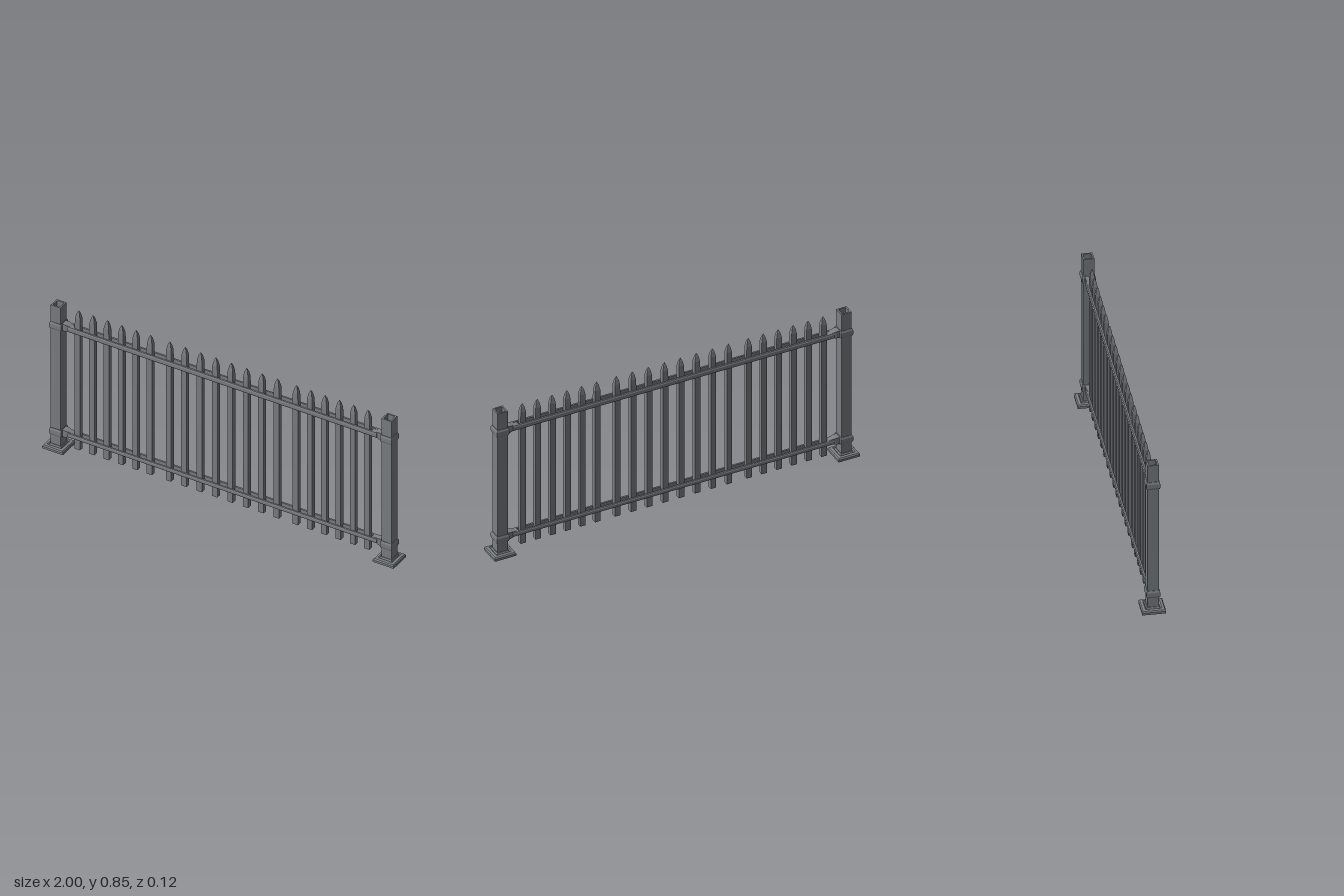
import * as THREE from 'three';

const iron = new THREE.MeshStandardMaterial({ color: 0x7b8083, flatShading: true });
iron.name = 'grey iron';

// Square solid built from [half width, height] pairs, going up the outside
function squareLathe(profile) {
  const pts = profile.map(([h, y]) => new THREE.Vector2(h * Math.SQRT2, y));
  return new THREE.LatheGeometry(pts, 4, Math.PI / 4);
}

function add(parent, name, geometry, x = 0, y = 0, z = 0) {
  const mesh = new THREE.Mesh(geometry, iron);
  mesh.name = name;
  mesh.position.set(x, y, z);
  parent.add(mesh);
  return mesh;
}

export function createModel() {
  const fence = new THREE.Group();
  fence.name = 'fence';
  const postX = 0.94;
  const rails = [
    { name: 'lowerRail', y: 0.097, h: 0.022 },
    { name: 'upperRail', y: 0.725, h: 0.028 },
  ];

  // Hollow square post, open at the top
  const postGeo = squareLathe([
    [0.021, 0.01], [0.028, 0.01], [0.028, 0.843], [0.02, 0.843], [0.02, 0.01],
  ]);
  // Stepped foot plate with a square hole
  const footGeo = squareLathe([
    [0.021, 0], [0.059, 0], [0.059, 0.012], [0.054, 0.019], [0.041, 0.021],
    [0.035, 0.016], [0.031, 0.025], [0.027, 0.025], [0.021, 0],
  ]);
  // Bevelled collar clamped round the post
  const collarGeo = squareLathe([
    [0.027, -0.02], [0.031, -0.02], [0.034, -0.012], [0.034, 0.01], [0.03, 0.02], [0.027, 0.02],
  ]);
  // Tapered socket that joins a collar to a rail, pointing along +x
  const socketGeo = squareLathe([
    [0.019, 0], [0.019, 0.02], [0.013, 0.045], [0.011, 0.065], [0, 0.065],
  ]);
  socketGeo.rotateZ(-Math.PI / 2);

  for (const side of [-1, 1]) {
    const post = new THREE.Group();
    post.name = side < 0 ? 'rightPost' : 'leftPost';
    post.position.x = side * postX;
    fence.add(post);
    add(post, 'postTube', postGeo);
    add(post, 'footPlate', footGeo);
    for (const rail of rails) {
      add(post, 'collar', collarGeo, 0, rail.y + 0.001);
      const socket = add(post, 'railSocket', socketGeo, -side * 0.03, rail.y);
      if (side > 0) socket.rotation.y = Math.PI;
    }
  }

  // Each rail is a pair of bars with a slot between them for the pickets
  const length = 1.76;
  for (const { name, y, h } of rails) {
    const rail = new THREE.Group();
    rail.name = name;
    rail.position.y = y;
    fence.add(rail);
    for (const s of [-1, 1]) {
      const section = new THREE.Shape([
        [0.011, -h / 2], [0.02, -h / 2], [0.023, -h / 4],
        [0.023, h / 4], [0.02, h / 2], [0.011, h / 2],
      ].map(([d, v]) => new THREE.Vector2(s * d, v)));
      const geo = new THREE.ExtrudeGeometry(section, { depth: length, bevelEnabled: false });
      geo.translate(0, 0, -length / 2);
      geo.rotateY(Math.PI / 2);
      add(rail, 'railBar', geo);
    }
  }

  // Pointed pickets, in groups of six, eight and six
  const picketGeo = squareLathe([
    [0, 0.026], [0.015, 0.026], [0.015, 0.765], [0.014, 0.8], [0.008, 0.828], [0, 0.845],
  ]);
  picketGeo.scale(1, 1, 0.85);
  const runs = [
    { start: -0.826, step: 0.0818, count: 6 },
    { start: -0.308, step: 0.0875, count: 8 },
    { start: 0.412, step: 0.0814, count: 6 },
  ];
  for (const { start, step, count } of runs) {
    for (let i = 0; i < count; i++) add(fence, 'picket', picketGeo, start + i * step);
  }
  return fence;
}
